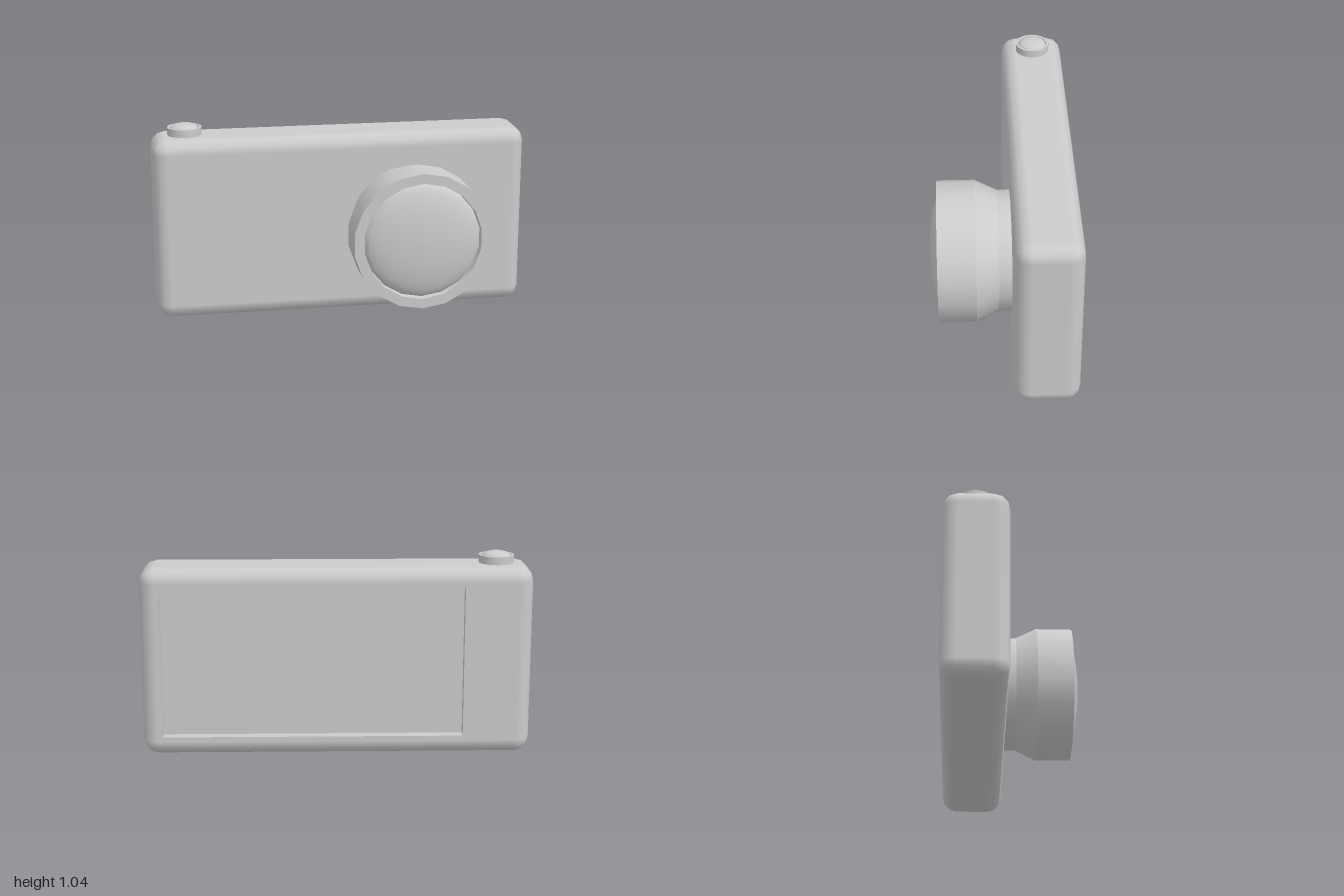
import * as THREE from 'three';
import { mergeGeometries } from 'three/addons/utils/BufferGeometryUtils.js';

const grey = new THREE.MeshStandardMaterial({ color: 0xcccccc });

function part(name, geometry, parent) {
  const mesh = new THREE.Mesh(geometry, grey);
  mesh.name = name;
  parent.add(mesh);
  return mesh;
}

// Turned part with a hard edge at every profile point
function turned(profile, sides) {
  const strips = [];
  for (let i = 0; i < profile.length - 1; i++) {
    const pair = [profile[i], profile[i + 1]].map(([r, y]) => new THREE.Vector2(r, y));
    strips.push(new THREE.LatheGeometry(pair, sides));
  }
  const merged = mergeGeometries(strips);
  merged.normalizeNormals();
  return merged;
}

// Shallow smooth dome: rim radius and height, up to the apex
function dome(radius, base, apex, sides) {
  const points = [];
  for (let i = 0; i <= 8; i++) {
    const t = (i / 8) * Math.PI / 2;
    points.push(new THREE.Vector2(i === 8 ? 0 : radius * Math.cos(t), base + (apex - base) * Math.sin(t)));
  }
  const geometry = new THREE.LatheGeometry(points, sides);
  geometry.normalizeNormals();
  return geometry;
}

// Rounded box skin without front and back panels, built from rounded-rectangle loops along z
function shell(w, h, d, R, seg) {
  const pos = [], nor = [], index = [];
  const sections = [];
  for (let i = 0; i <= seg; i++) sections.push([-Math.PI / 2 * (1 - i / seg), -1]);
  for (let i = 0; i <= seg; i++) sections.push([Math.PI / 2 * (i / seg), 1]);
  const count = 4 * (seg + 1);
  for (const [t, end] of sections) {
    for (let k = 0; k < 4; k++) {
      const sx = k === 0 || k === 3 ? 1 : -1, sy = k < 2 ? 1 : -1;
      for (let j = 0; j <= seg; j++) {
        const a = (k + j / seg) * Math.PI / 2;
        const n = [Math.cos(t) * Math.cos(a), Math.cos(t) * Math.sin(a), Math.sin(t)];
        nor.push(...n);
        pos.push(sx * (w / 2 - R) + R * n[0], sy * (h / 2 - R) + R * n[1], end * (d / 2 - R) + R * n[2]);
      }
    }
  }
  for (let s = 0; s < sections.length - 1; s++) {
    for (let i = 0; i < count; i++) {
      const a = s * count + i, b = s * count + (i + 1) % count;
      index.push(a, b, b + count, a, b + count, a + count);
    }
  }
  const g = new THREE.BufferGeometry();
  g.setAttribute('position', new THREE.Float32BufferAttribute(pos, 3));
  g.setAttribute('normal', new THREE.Float32BufferAttribute(nor, 3));
  g.setIndex(index);
  return g;
}

// Counter-clockwise corners of a rectangle
function corners(x0, y0, x1, y1) {
  return [[x0, y0], [x1, y0], [x1, y1], [x0, y1]].map(([x, y]) => new THREE.Vector2(x, y));
}

export function createModel() {
  const camera = new THREE.Group();
  camera.name = 'compactCamera';

  // Body
  const W = 2, H = 0.985, R = 0.078, back = -0.372, front = -0.04;
  const body = new THREE.Group();
  body.name = 'body';
  camera.add(body);
  part('bodyShell', shell(W, H, front - back, R, 3), body).position.set(0, H / 2, (front + back) / 2);
  part('frontPanel', new THREE.PlaneGeometry(W - 2 * R, H - 2 * R), body).position.set(0, H / 2, front);

  // Back panel with a sunken screen, drawn facing +z and turned around
  const rear = new THREE.Group();
  rear.name = 'rear';
  rear.rotation.y = Math.PI;
  rear.position.z = back;
  body.add(rear);
  const x0 = -0.895, x1 = 0.65, y0 = 0.104, y1 = 0.881, sink = 0.053;
  const opening = corners(x0, y0, x1, y1);
  const panel = new THREE.Shape(corners(R - W / 2, R, W / 2 - R, H - R));
  panel.holes.push(new THREE.Path(opening));
  part('backPanel', new THREE.ShapeGeometry(panel), rear);
  part('screen', new THREE.PlaneGeometry(x1 - x0, y1 - y0), rear)
    .position.set((x0 + x1) / 2, (y0 + y1) / 2, -sink);
  const walls = opening.map((p, i) => {
    const q = opening[(i + 1) % 4];
    return new THREE.PlaneGeometry(p.distanceTo(q), sink)
      .rotateX(-Math.PI / 2)
      .rotateZ(i * Math.PI / 2)
      .translate((p.x + q.x) / 2, (p.y + q.y) / 2, -sink / 2);
  });
  part('screenRim', mergeGeometries(walls), rear);

  // Lens, turned about y and then aimed forward
  const lens = new THREE.Group();
  lens.name = 'lens';
  lens.rotation.x = Math.PI / 2;
  lens.position.set(0.362, 0.494, 0);
  camera.add(lens);
  part('lensBarrel', turned([[0.312, front], [0.312, 0.025], [0.365, 0.138], [0.365, 0.331],
    [0.312, 0.331], [0.308, 0.298]], 18), lens);
  part('lensGlass', dome(0.308, 0.298, 0.372, 18), lens);

  // Shutter button
  const button = new THREE.Group();
  button.name = 'shutterButton';
  button.position.set(-0.82, 0, -0.208);
  camera.add(button);
  part('buttonCollar', turned([[0.091, H], [0.091, 1.025], [0.078, 1.025], [0.076, 1.015]], 24), button);
  part('buttonCap', dome(0.076, 1.015, 1.045, 24), button);

  return camera;
}
